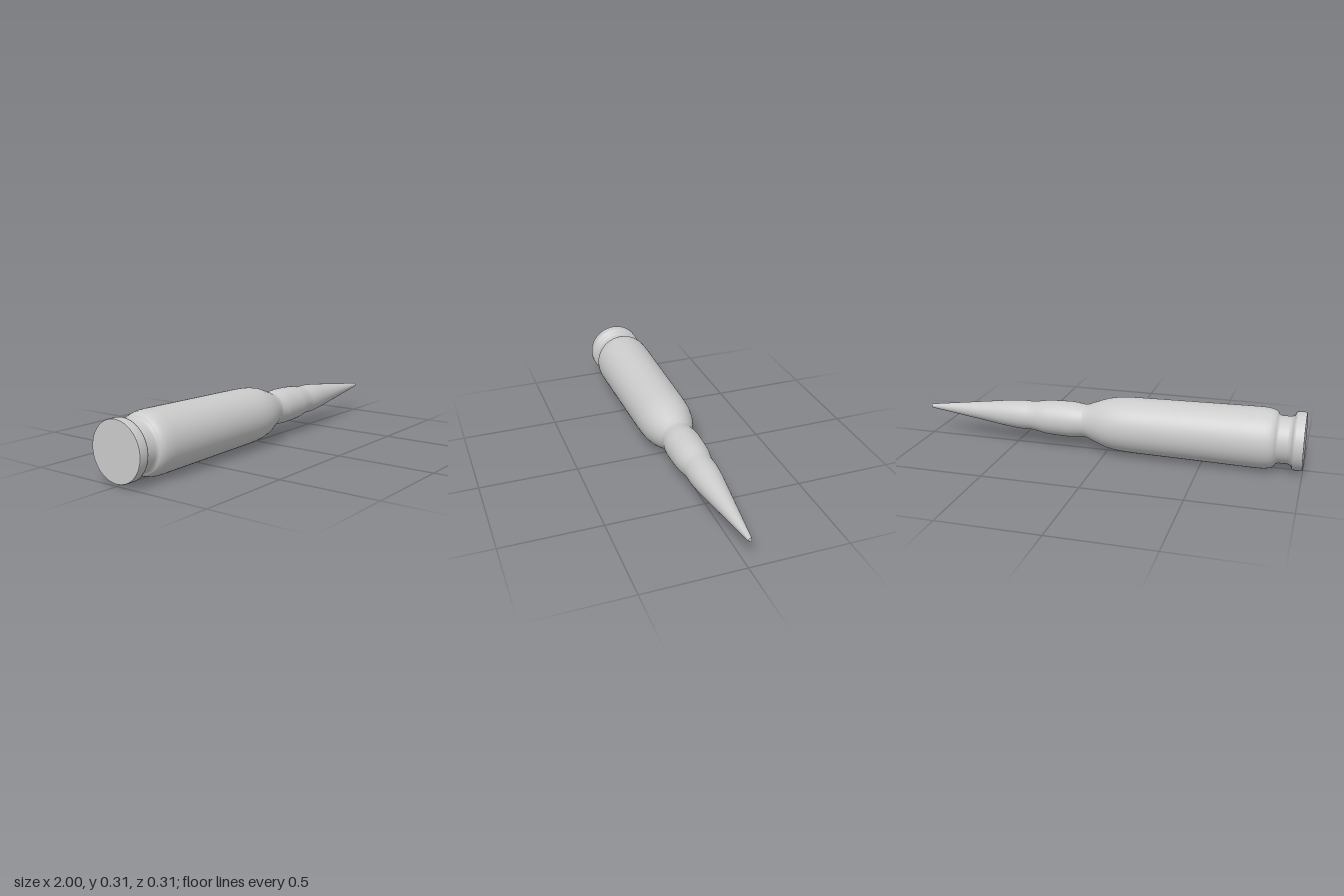
import * as THREE from 'three';

const SEGMENTS = 64;
const AXIS_HEIGHT = 0.153;

export function createModel() {
  const model = new THREE.Group();
  model.name = 'cartridge';
  model.position.y = AXIS_HEIGHT;
  const material = new THREE.MeshStandardMaterial({ color: 0xcccccc });

  const add = (name, geometry) => {
    const mesh = new THREE.Mesh(geometry, material);
    mesh.name = name;
    model.add(mesh);
  };

  // Turned part along x, from [x, radius] pairs
  const turned = (name, profile) => {
    const points = profile.map(([x, r]) => new THREE.Vector2(r, x));
    add(name, new THREE.LatheGeometry(points, SEGMENTS).rotateZ(-Math.PI / 2));
  };

  // Flat end disc facing +x or -x
  const endDisc = (name, x, radius) => {
    const disc = new THREE.CircleGeometry(radius, SEGMENTS);
    add(name, disc.rotateY(Math.sign(x) * Math.PI / 2).translate(x, 0, 0));
  };

  // Base with rim and extractor groove
  endDisc('caseHead', -1, 0.143);
  turned('rim', [
    [-1, 0.143], [-0.995, 0.145], [-0.96, 0.145], [-0.95, 0.142],
    [-0.943, 0.13], [-0.937, 0.122], [-0.925, 0.118],
  ]);
  turned('extractorGroove', [
    [-0.925, 0.118], [-0.88, 0.118], [-0.868, 0.123], [-0.862, 0.133],
  ]);

  // Case body tapering into the shoulder and neck
  turned('caseBody', [
    [-0.862, 0.133], [-0.852, 0.142], [-0.835, 0.148], [-0.81, 0.152],
    [-0.78, 0.153], [-0.7, 0.152], [-0.4, 0.147], [-0.15, 0.143],
    [-0.1, 0.141], [-0.05, 0.137], [0, 0.127], [0.04, 0.113],
    [0.08, 0.098], [0.1, 0.089], [0.12, 0.085],
  ]);
  turned('caseNeck', [
    [0.12, 0.085], [0.14, 0.086], [0.17, 0.091], [0.2, 0.093],
    [0.25, 0.092], [0.31, 0.09], [0.34, 0.087], [0.37, 0.081],
    [0.4, 0.076], [0.42, 0.075],
  ]);

  // Pointed bullet with a small flat tip
  turned('bullet', [
    [0.42, 0.075], [0.47, 0.076], [0.51, 0.073], [0.56, 0.068],
    [0.75, 0.043], [0.985, 0.012], [0.995, 0.011], [1, 0.009],
  ]);
  endDisc('bulletTip', 1, 0.009);

  return model;
}
